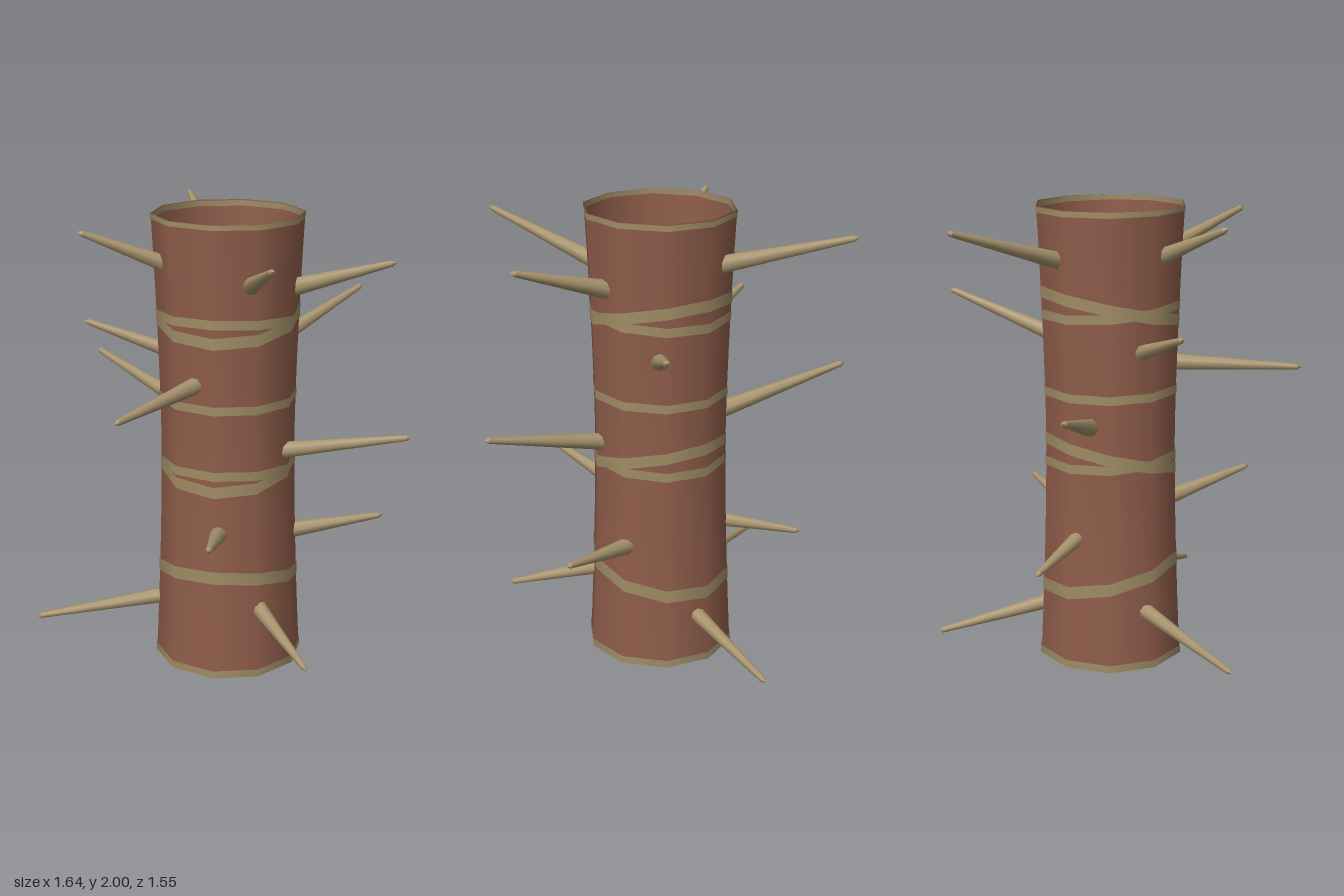
import * as THREE from 'three';
import { mergeGeometries } from 'three/addons/utils/BufferGeometryUtils.js';

const SIDES = 10;
const CENTRE = new THREE.Vector3(0.01, 0, -0.005);

// Waisted trunk: radius at a given height
const trunkRadius = (y) => 0.292 + 0.034 * Math.pow(Math.abs(y - 1.02) / 1.02, 1.6);

// Ribbon round the trunk; height and half-width vary from back (c = -1) to front (c = 1)
function ribbon(heightAt, halfAt, offset) {
  const pos = [], normal = [], index = [];
  for (let i = 0; i <= SIDES; i++) {
    const a = (i / SIDES) * Math.PI * 2;
    const s = Math.sin(a), c = Math.cos(a);
    for (const side of [-1, 1]) {
      const y = THREE.MathUtils.clamp(heightAt(c) + side * halfAt(c), 0, 2);
      const r = trunkRadius(y) + offset;
      pos.push(s * r, y, c * r);
      normal.push(s, 0, c);
    }
    if (i < SIDES) {
      const k = i * 2;
      index.push(k, k + 2, k + 1, k + 1, k + 2, k + 3);
    }
  }
  const g = new THREE.BufferGeometry();
  g.setAttribute('position', new THREE.Float32BufferAttribute(pos, 3));
  g.setAttribute('normal', new THREE.Float32BufferAttribute(normal, 3));
  g.setIndex(index);
  return g;
}

// Tapered thorn along +y with a short pointed tip
function thornGeometry(length) {
  const tip = 0.02;
  const body = new THREE.CylinderGeometry(0.013, 0.041, length - tip, 8, 3);
  body.translate(0, (length - tip) / 2, 0);
  const point = new THREE.ConeGeometry(0.013, tip, 8, 1, true);
  point.translate(0, length - tip / 2, 0);
  return mergeGeometries([body, point]);
}

export function createModel() {
  const bark = new THREE.MeshStandardMaterial({ color: 0x8f5d4a, side: THREE.DoubleSide });
  bark.name = 'bark brown';
  const band = new THREE.MeshStandardMaterial({ color: 0xa08d66, side: THREE.DoubleSide });
  band.name = 'band tan';
  const thornMat = new THREE.MeshStandardMaterial({ color: 0xa8946e });
  thornMat.name = 'thorn tan';

  const model = new THREE.Group();
  model.name = 'thornyTrunk';

  // Hollow trunk, open at both ends
  const profile = [];
  for (let i = 0; i <= 16; i++) profile.push(new THREE.Vector2(trunkRadius(i / 8), i / 8));
  const trunk = new THREE.Mesh(new THREE.LatheGeometry(profile, SIDES), bark);
  trunk.name = 'trunk';
  trunk.position.copy(CENTRE);
  model.add(trunk);

  // Bands: [mean height, rise towards the front, half-width]
  const bands = [
    [0.015, 0, 0.018],
    [0.4, 0.07, 0.028],
    [0.93, -0.073, 0.025],
    [0.915, 0.015, 0.02],
    [1.215, 0.004, 0.019],
    [1.575, -0.067, 0.025],
    [1.567, 0.023, 0.02],
    [1.988, 0.004, 0.012],
  ];
  const bandGroup = new THREE.Group();
  bandGroup.name = 'bands';
  bandGroup.position.copy(CENTRE);
  for (const [y, rise, half] of bands) {
    for (const offset of [0.003, -0.003]) {
      const mesh = new THREE.Mesh(ribbon((c) => y + rise * c, () => half, offset), band);
      mesh.name = offset > 0 ? 'outerBand' : 'innerBand';
      bandGroup.add(mesh);
    }
  }
  model.add(bandGroup);

  // Thorns: root then tip
  const thorns = [
    [-0.15, 1.765, 0.10, -0.55, 1.95, 0.30],
    [-0.08, 1.77, -0.22, -0.35, 1.955, -0.78],
    [0.12, 1.71, 0.14, 0.34, 1.92, 0.74],
    [0.27, 1.69, 0.00, 0.725, 1.835, 0.07],
    [0.13, 1.38, -0.13, 0.505, 1.585, -0.60],
    [-0.14, 1.365, 0.02, -0.60, 1.53, 0.10],
    [-0.04, 1.32, 0.17, -0.27, 1.30, 0.77],
    [-0.16, 1.075, -0.14, -0.71, 1.26, -0.425],
    [0.19, 0.98, 0.06, 0.82, 1.125, 0.165],
    [0.02, 0.65, 0.21, 0.08, 0.765, 0.685],
    [0.21, 0.55, -0.08, 0.68, 0.635, -0.185],
    [-0.08, 0.61, -0.12, -0.42, 0.54, -0.465],
    [0.13, 0.34, 0.14, 0.46, 0.20, 0.535],
    [-0.14, 0.28, 0.02, -0.82, 0.18, 0.245],
    [0.03, 0.26, -0.13, 0.105, 0.12, -0.78],
  ];
  const up = new THREE.Vector3(0, 1, 0);
  for (const [x0, y0, z0, x1, y1, z1] of thorns) {
    const root = new THREE.Vector3(x0, y0, z0);
    const dir = new THREE.Vector3(x1, y1, z1).sub(root);
    const thorn = new THREE.Mesh(thornGeometry(dir.length()), thornMat);
    thorn.name = 'thorn';
    thorn.position.copy(root);
    thorn.quaternion.setFromUnitVectors(up, dir.normalize());
    model.add(thorn);
  }
  return model;
}
